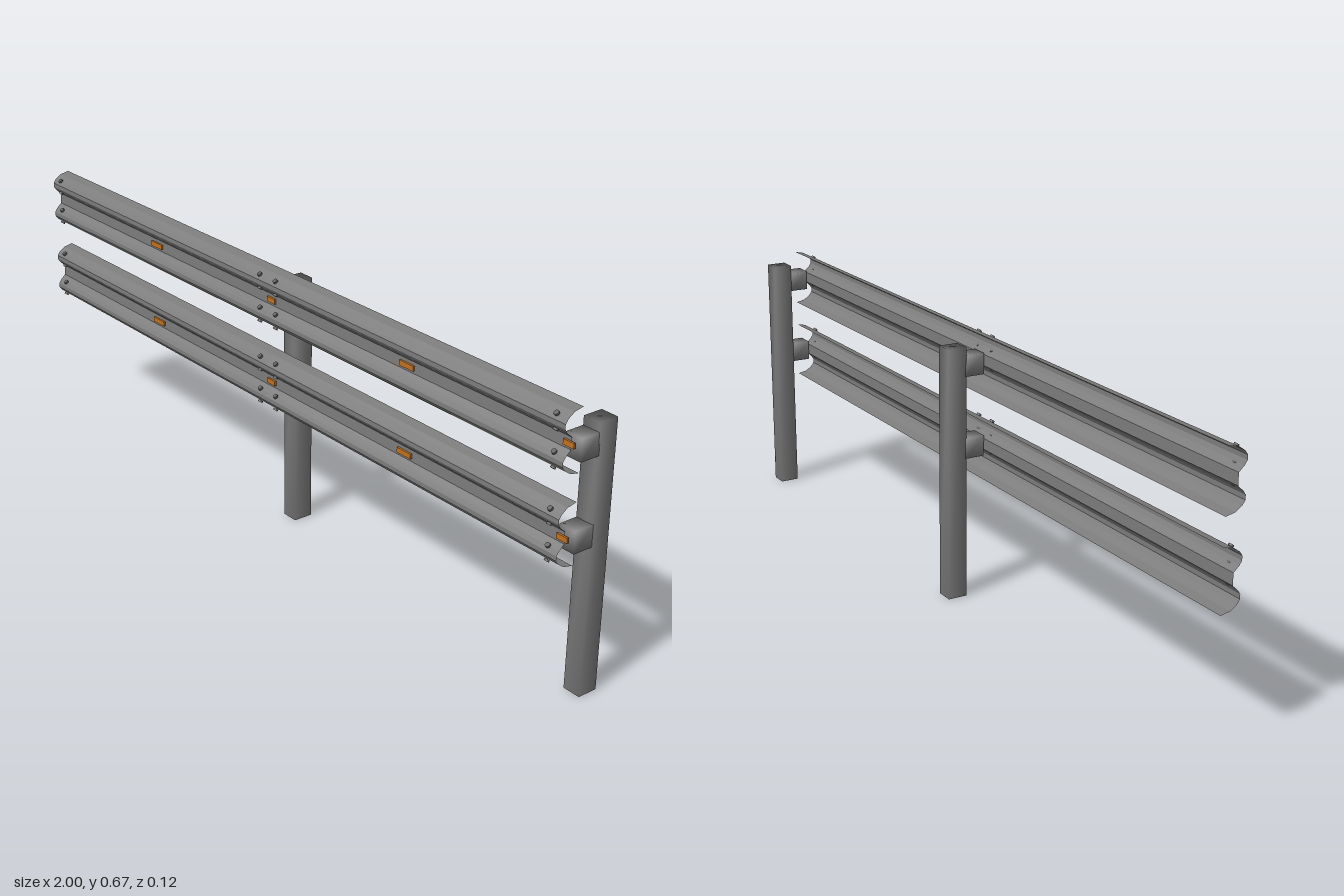
import * as THREE from 'three';
import { mergeVertices } from 'three/addons/utils/BufferGeometryUtils.js';

const steel = new THREE.MeshStandardMaterial({ color: 0x7c7c7c });
steel.name = 'galvanised steel';
steel.side = THREE.DoubleSide;
const boltSteel = new THREE.MeshStandardMaterial({ color: 0x606060 });
boltSteel.name = 'dark bolt steel';
const orange = new THREE.MeshStandardMaterial({ color: 0xc07020 });
orange.name = 'reflector orange';

const SEGMENT = 0.9875;          // length of one rail panel
const POSTS_X = [-0.0125, 0.9775];
const RAILS_Y = [0.598, 0.387];

// Half of the double-lobed rail section: [height above centre, z]
const HALF = [[0.073, 0.012], [0.068, 0.036], [0.057, 0.052], [0.047, 0.059],
  [0.036, 0.059], [0.027, 0.053], [0.014, 0.039]];
const PROFILE = [...HALF, ...HALF.map(([y, z]) => [-y, z]).reverse()];

function add(parent, name, geometry, material, x, y, z) {
  const mesh = new THREE.Mesh(geometry, material);
  mesh.name = name;
  mesh.position.set(x, y, z);
  parent.add(mesh);
  return mesh;
}

// Sheet swept along x, with one flat face per profile step
function railGeometry(length) {
  const pos = [];
  const h = length / 2;
  for (let i = 0; i < PROFILE.length - 1; i++) {
    const [y0, z0] = PROFILE[i];
    const [y1, z1] = PROFILE[i + 1];
    pos.push(-h, y0, z0, -h, y1, z1, h, y1, z1);
    pos.push(-h, y0, z0, h, y1, z1, h, y0, z0);
  }
  const g = new THREE.BufferGeometry();
  g.setAttribute('position', new THREE.Float32BufferAttribute(pos, 3));
  g.computeVertexNormals();
  return g;
}

// Box with softly shaded corners
function softBox(w, h, d) {
  const g = new THREE.BoxGeometry(w, h, d);
  g.deleteAttribute('normal');
  g.deleteAttribute('uv');
  const merged = mergeVertices(g);
  merged.computeVertexNormals();
  return merged;
}

export function createModel() {
  const model = new THREE.Group();
  model.name = 'guardrail';

  // Posts with a spacer block behind each rail
  for (const x of POSTS_X) {
    const post = new THREE.Group();
    post.name = 'postAssembly';
    model.add(post);
    add(post, 'post', softBox(0.045, 0.638, 0.05), steel, x, 0.319, -0.037);
    for (const y of RAILS_Y) {
      add(post, 'spacerBlock', softBox(0.045, 0.052, 0.051), steel, x, y - 0.007 + (y < 0.5 ? 0.005 : 0), 0.0105);
    }
  }

  const rail = railGeometry(SEGMENT);
  const bolt = new THREE.CylinderGeometry(0.006, 0.006, 0.005, 10);
  const reflector = new THREE.BoxGeometry(0.046, 0.0125, 0.005);
  const smallReflector = new THREE.BoxGeometry(0.03, 0.0125, 0.005);

  for (const y of RAILS_Y) {
    for (let s = 0; s < 2; s++) {
      const cx = -1 + SEGMENT * (s + 0.5);
      const panel = new THREE.Group();
      panel.name = 'railPanel';
      panel.position.set(cx, y, 0);
      model.add(panel);
      add(panel, 'rail', rail, steel, 0, 0, 0);
      add(panel, 'reflector', reflector, orange, 0, 0, 0.0425);

      // Bolts on the four sloped faces at both ends
      for (const side of [-1, 1]) {
        for (const [by, tilt] of [[0.0595, 1], [0.0245, -1], [-0.0245, 1], [-0.0595, -1]]) {
          const b = add(panel, 'bolt', bolt, boltSteel, side * (SEGMENT / 2 - 0.031), by, 0.054);
          b.rotation.x = Math.PI / 2 - tilt * 0.93;
        }
      }
    }
    // Markers at the posts
    for (const x of [-0.0125, 0.972]) {
      add(model, 'postReflector', smallReflector, orange, x, y, 0.0425);
    }
  }
  return model;
}
